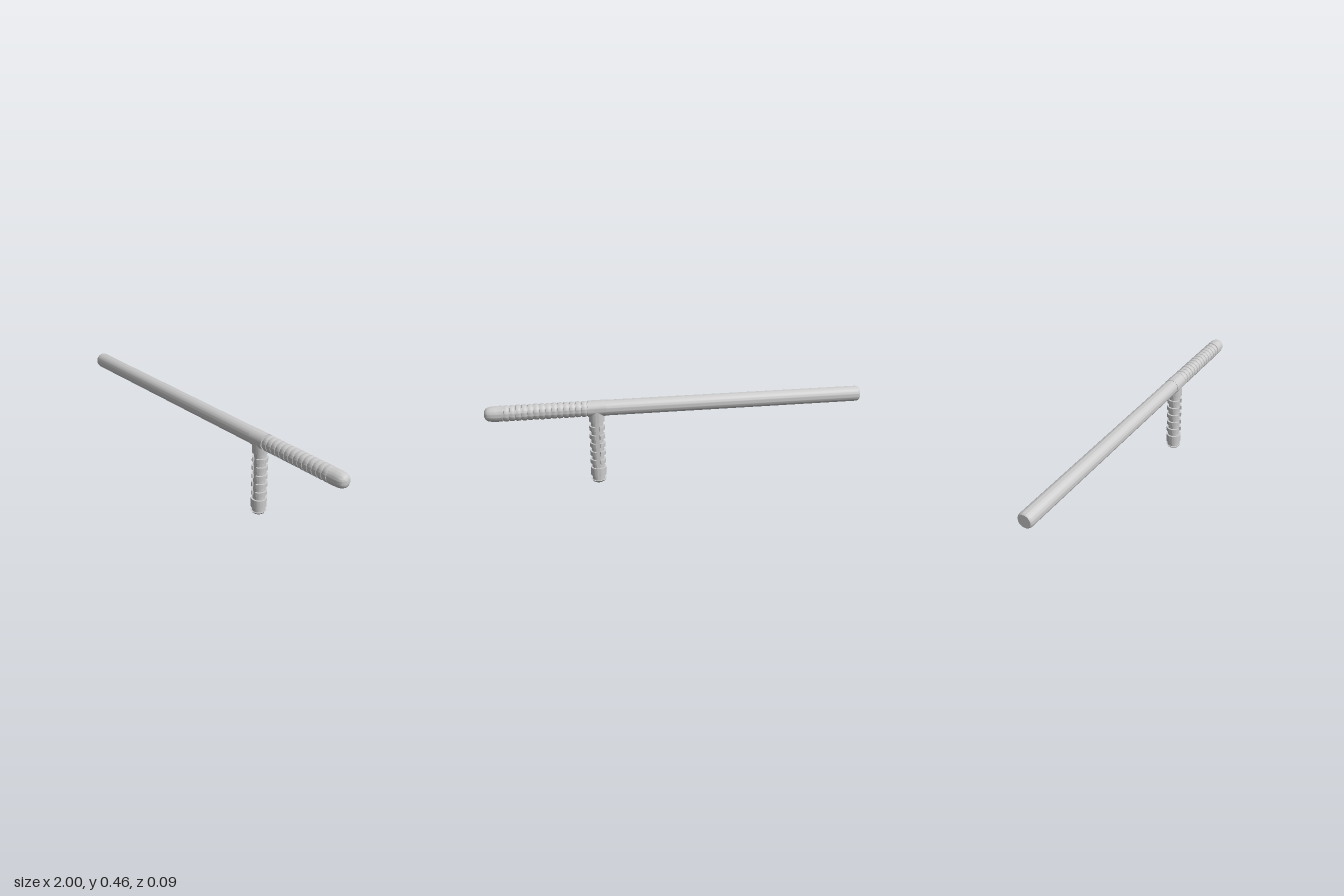
import * as THREE from 'three';
import { toCreasedNormals } from 'three/addons/utils/BufferGeometryUtils.js';

const material = new THREE.MeshStandardMaterial({ color: 0xcccccc });
const AXIS_Y = 0.42, GRIP_X = 0.428;

// Turned part: [radius, height] pairs from bottom to top
function turned(profile, segments = 40) {
  const points = profile.map(([r, h]) => new THREE.Vector2(r, h));
  return toCreasedNormals(new THREE.LatheGeometry(points, segments), 0.6);
}

// Half ring around y, leaving slots at the front and back
function halfRing(inner, outer, height, slotAngle) {
  const a = Math.PI / 2 - slotAngle;
  const shape = new THREE.Shape();
  shape.absarc(0, 0, outer, -a, a, false);
  shape.absarc(0, 0, inner, a, -a, true);
  const geometry = new THREE.ExtrudeGeometry(shape, { depth: height, bevelEnabled: false, curveSegments: 18 });
  geometry.rotateX(-Math.PI / 2);
  return toCreasedNormals(geometry, 0.6);
}

export function createModel() {
  const model = new THREE.Group();
  const add = (name, geometry, parent = model) => {
    const mesh = new THREE.Mesh(geometry, material);
    mesh.name = name;
    parent.add(mesh);
    return mesh;
  };
  // Turned part laid along x on the shaft line
  const addAlongX = (name, profile) => {
    const mesh = add(name, turned(profile));
    mesh.rotation.z = -Math.PI / 2;
    mesh.position.y = AXIS_Y;
  };

  // Long plain shaft with a softly bevelled far end
  addAlongX('shaft', [[0, -1], [0.034, -1], [0.038, -0.996], [0.041, -0.986], [0.041, 0.4], [0, 0.4]]);

  // Collar joining the shaft and both grips
  addAlongX('collar', [[0, 0.382], [0.0425, 0.382], [0.0425, 0.474], [0, 0.474]]);

  // Ribbed rear grip: rounded ribs, then a domed tip
  const rear = [[0, 0.46], [0.037, 0.46], [0.037, 0.48]];
  const ribs = 14, pitch = 0.0305;
  for (let i = 0; i < ribs; i++) {
    const x = 0.48 + i * pitch;
    rear.push([0.0395, x + 0.001], [0.0415, x + 0.006], [0.0415, x + 0.02],
      [0.0395, x + 0.025], [0.037, x + 0.026], [0.037, x + pitch]);
  }
  rear.push([0.041, 0.908], [0.0405, 0.94], [0.039, 0.965], [0.035, 0.982],
    [0.028, 0.993], [0.014, 1], [0, 1]);
  addAlongX('rearGrip', rear);

  // Side grip hanging below the collar
  const grip = new THREE.Group();
  grip.name = 'sideGrip';
  grip.position.x = GRIP_X;
  model.add(grip);
  add('gripSleeve', turned([[0, 0.35], [0.041, 0.35], [0.041, AXIS_Y], [0, AXIS_Y]]), grip);
  add('gripCore', turned([[0, 0.015], [0.033, 0.015], [0.033, 0.06], [0.0315, 0.06], [0.0315, 0.36], [0, 0.36]]), grip);
  add('gripBand', turned([[0, 0.044], [0.041, 0.044], [0.041, 0.09], [0, 0.09]]), grip);
  add('gripCap', turned([[0, 0], [0.014, 0.001], [0.025, 0.005], [0.034, 0.011], [0.041, 0.02], [0, 0.02]]), grip);

  // Finger rings, each split into a left and a right half
  const ringGeometry = halfRing(0.03, 0.041, 0.023, 0.3);
  for (let i = 0; i < 5; i++) {
    for (const turn of [0, Math.PI]) {
      const ring = add('gripRing', ringGeometry, grip);
      ring.position.y = 0.114 + i * 0.047;
      ring.rotation.y = turn;
    }
  }
  return model;
}
